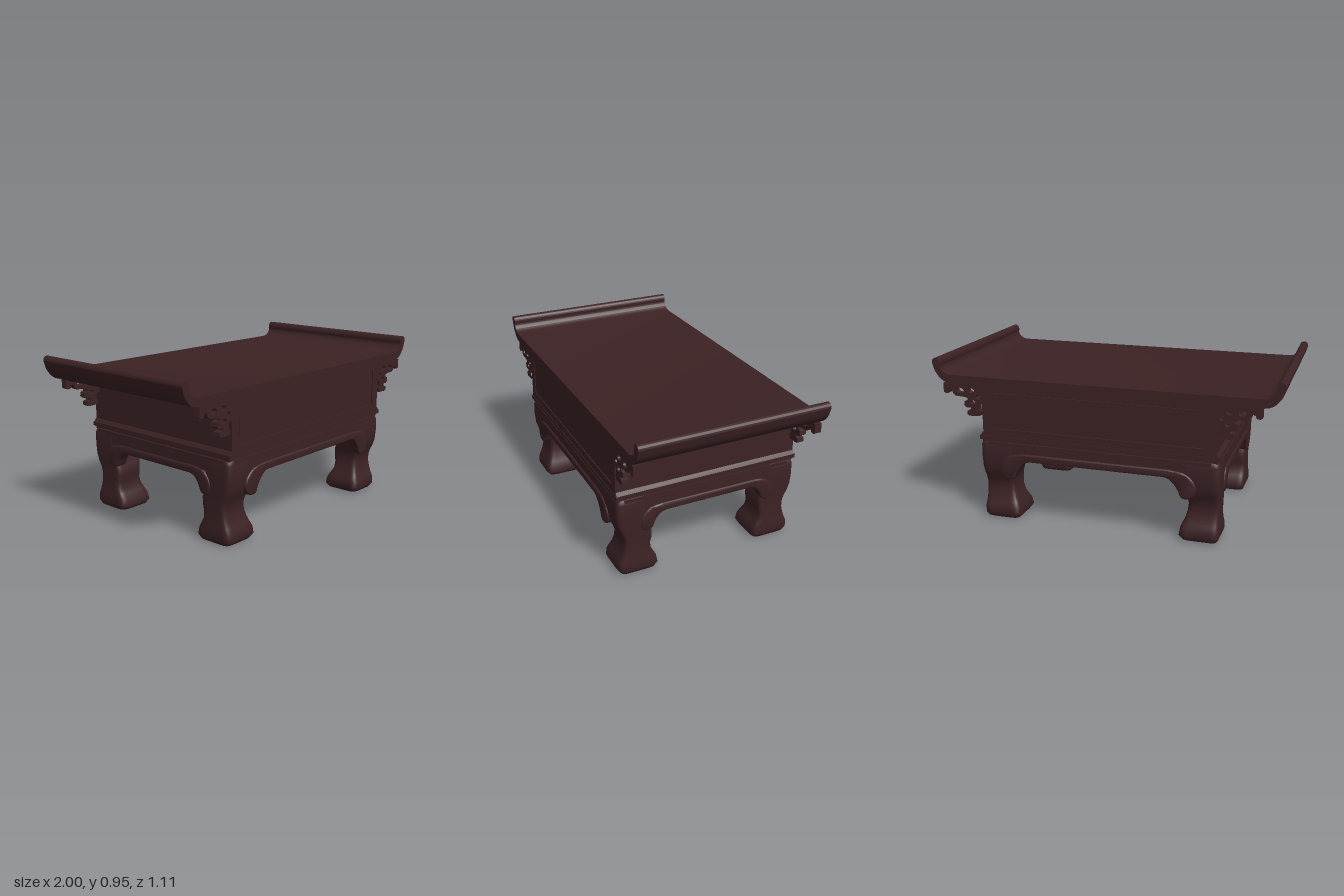
import * as THREE from 'three';
import { toCreasedNormals } from 'three/addons/utils/BufferGeometryUtils.js';

const V = ([x, y]) => new THREE.Vector2(x, y);

// Extruded shape centred on z, with optional rounded rims
function slab(shape, depth, bevel = 0) {
  const g = new THREE.ExtrudeGeometry(shape, {
    depth: depth - 2 * bevel, curveSegments: 10, bevelEnabled: bevel > 0,
    bevelThickness: bevel, bevelSize: bevel, bevelOffset: -bevel, bevelSegments: 4,
  });
  g.translate(0, 0, -depth / 2 + bevel);
  return toCreasedNormals(g, 0.7);
}

// Shape mirrored about x = 0; pts run from the lower edge, round the right end, to the upper edge
function mirroredBand(pts) {
  const s = new THREE.Shape();
  const left = pts.map(([x, y]) => [-x, y]).reverse();
  s.moveTo(...left[left.length - 1]);
  s.lineTo(...pts[0]);
  s.splineThru(pts.slice(1).map(V));
  s.lineTo(...left[0]);
  s.splineThru(left.slice(1).map(V));
  return s;
}

function rect(w, y0, y1) {
  const s = new THREE.Shape();
  s.moveTo(-w, y0); s.lineTo(w, y0); s.lineTo(w, y1); s.lineTo(-w, y1); s.closePath();
  return s;
}

// Leg lofted from rounded-square sections: y, inner x, outer x, inner z, outer z
const LEG = [
  [0, 0.58, 0.58, 0.42, 0.42], [0, 0.52, 0.66, 0.34, 0.49], [0.006, 0.49, 0.69, 0.312, 0.52],
  [0.03, 0.472, 0.7, 0.297, 0.537], [0.07, 0.478, 0.7, 0.306, 0.534], [0.1, 0.491, 0.697, 0.323, 0.52],
  [0.13, 0.504, 0.695, 0.34, 0.509], [0.17, 0.515, 0.694, 0.342, 0.499], [0.21, 0.52, 0.694, 0.333, 0.499],
  [0.245, 0.517, 0.695, 0.333, 0.509], [0.275, 0.505, 0.697, 0.345, 0.525], [0.32, 0.49, 0.699, 0.36, 0.54],
  [0.38, 0.48, 0.7, 0.36, 0.546], [0.45, 0.48, 0.7, 0.36, 0.545], [0.474, 0.48, 0.692, 0.36, 0.537],
  [0.478, 0.48, 0.685, 0.36, 0.53],
];

function legGeometry(sx, sz) {
  const N = 40, pos = [], idx = [];
  const round = (v) => Math.sign(v) * Math.abs(v) ** 0.3;
  LEG.forEach(([y, xi, xo, zi, zo], i) => {
    for (let j = 0; j < N; j++) {
      const t = (j / N) * Math.PI * 2;
      pos.push(sx * (xi + xo) / 2 + round(Math.cos(t)) * (xo - xi) / 2, y,
        sz * (zi + zo) / 2 + round(Math.sin(t)) * (zo - zi) / 2);
      if (i === 0) continue;
      const a = (i - 1) * N + j, b = (i - 1) * N + (j + 1) % N;
      idx.push(a, a + N, b, b, a + N, b + N);
    }
  });
  const g = new THREE.BufferGeometry();
  g.setAttribute('position', new THREE.Float32BufferAttribute(pos, 3));
  g.setIndex(idx);
  g.computeVertexNormals();
  return g;
}

export function createModel() {
  const wood = new THREE.MeshStandardMaterial({ color: 0x3c2224 });
  wood.name = 'darkWood';
  const model = new THREE.Group();
  model.name = 'altarTable';
  const base = new THREE.Group();
  base.name = 'base';
  base.position.x = 0.025;
  model.add(base);

  const add = (name, geo, parent = base) => {
    const m = new THREE.Mesh(geo, wood);
    m.name = name;
    parent.add(m);
    return m;
  };
  const box = (name, w, y0, y1, d) => {
    const m = add(name, new THREE.BoxGeometry(w, y1 - y0, d));
    m.position.y = (y0 + y1) / 2;
    return m;
  };

  // Table top with upturned, rolled ends
  const end = [[0.885, 0.803], [0.925, 0.811], [0.955, 0.831], [0.982, 0.865], [0.995, 0.9], [1, 0.922],
    [0.992, 0.939], [0.976, 0.945], [0.959, 0.938], [0.951, 0.918], [0.953, 0.895], [0.94, 0.872],
    [0.915, 0.857], [0.89, 0.852]];
  add('tableTop', slab(mirroredBand(end), 1.09), model);

  // Cabinet body, with framed panels front and back
  box('body', 1.35, 0.5, 0.804, 1.066);
  const frame = rect(0.675, 0.505, 0.803);
  const opening = rect(0.62, 0.555, 0.768);
  frame.holes.push(opening);
  const frameGeo = slab(frame, 0.01);
  const panelGeo = slab(rect(0.616, 0.559, 0.764), 0.008);
  for (const s of [1, -1]) {
    add('panelFrame', frameGeo).position.z = s * 0.538;
    add('panel', panelGeo).position.z = s * 0.5355;
  }

  // Moulding below the body, with a narrow neck under it
  const mould = new THREE.Shape([[-0.692, 0.485], [0.692, 0.485], [0.695, 0.51], [0.68, 0.53],
    [-0.68, 0.53], [-0.695, 0.51]].map(V));
  add('mouldingSlope', slab(mould, 1.084));
  box('moulding', 1.392, 0.488, 0.511, 1.094);
  box('neck', 1.372, 0.472, 0.49, 1.066);

  // Legs
  for (const sx of [1, -1]) for (const sz of [1, -1]) add('leg', legGeometry(sx, sz));

  // Aprons, each with a raised band that curls down onto the legs
  const longBand = [[0.385, 0.374], [0.415, 0.368], [0.45, 0.338], [0.475, 0.3], [0.49, 0.268], [0.52, 0.259],
    [0.555, 0.272], [0.574, 0.315], [0.56, 0.362], [0.51, 0.404], [0.42, 0.42]];
  const shortBand = [[0.26, 0.364], [0.292, 0.352], [0.32, 0.32], [0.34, 0.277], [0.37, 0.264],
    [0.398, 0.277], [0.41, 0.317], [0.395, 0.363], [0.35, 0.4], [0.28, 0.411]];
  const apron = (points, half, face, slabFace, turns) => {
    const bandGeo = slab(mirroredBand(points), 0.075, 0.01);
    const boardGeo = slab(rect(half, 0.4, 0.476), 0.06);
    for (const turn of turns) {
      const g = new THREE.Group();
      g.name = 'apron';
      g.rotation.y = turn;
      base.add(g);
      add('apronBand', bandGeo, g).position.z = face - 0.0375;
      add('apronBoard', boardGeo, g).position.z = slabFace - 0.03;
    }
  };
  apron(longBand, 0.65, 0.553, 0.543, [0, Math.PI]);
  apron(shortBand, 0.5, 0.705, 0.697, [Math.PI / 2, -Math.PI / 2]);

  // Openwork scroll brackets under the overhanging ends
  const bracket = new THREE.Shape([[-0.01, 0.804], [0.235, 0.804], [0.237, 0.75], [0.225, 0.743], [0.207, 0.745],
    [0.2, 0.762], [0.185, 0.768], [0.178, 0.745], [0.16, 0.732], [0.115, 0.73], [0.088, 0.725], [0.09, 0.71],
    [0.108, 0.703], [0.112, 0.68], [0.095, 0.668], [0.07, 0.67], [0.07, 0.655], [0.093, 0.648], [0.095, 0.628],
    [0.082, 0.62], [0.02, 0.622], [0.012, 0.645], [0.025, 0.66], [0.022, 0.69], [-0.01, 0.7]].map(V));
  for (const [x, y, rx, ry] of [[0.135, 0.765, 0.024, 0.016], [0.065, 0.768, 0.021, 0.015],
    [0.058, 0.7, 0.017, 0.013], [0.025, 0.732, 0.013, 0.014]]) {
    bracket.holes.push(new THREE.Path().absellipse(x, y, rx, ry, 0, Math.PI * 2));
  }
  const bracketGeo = slab(bracket, 0.04);
  for (const sx of [1, -1]) for (const sz of [1, -1]) {
    const b = add('scrollBracket', bracketGeo);
    b.position.set(sx * 0.675, 0, sz * 0.524);
    if (sx < 0) b.rotation.y = Math.PI;
  }
  return model;
}
